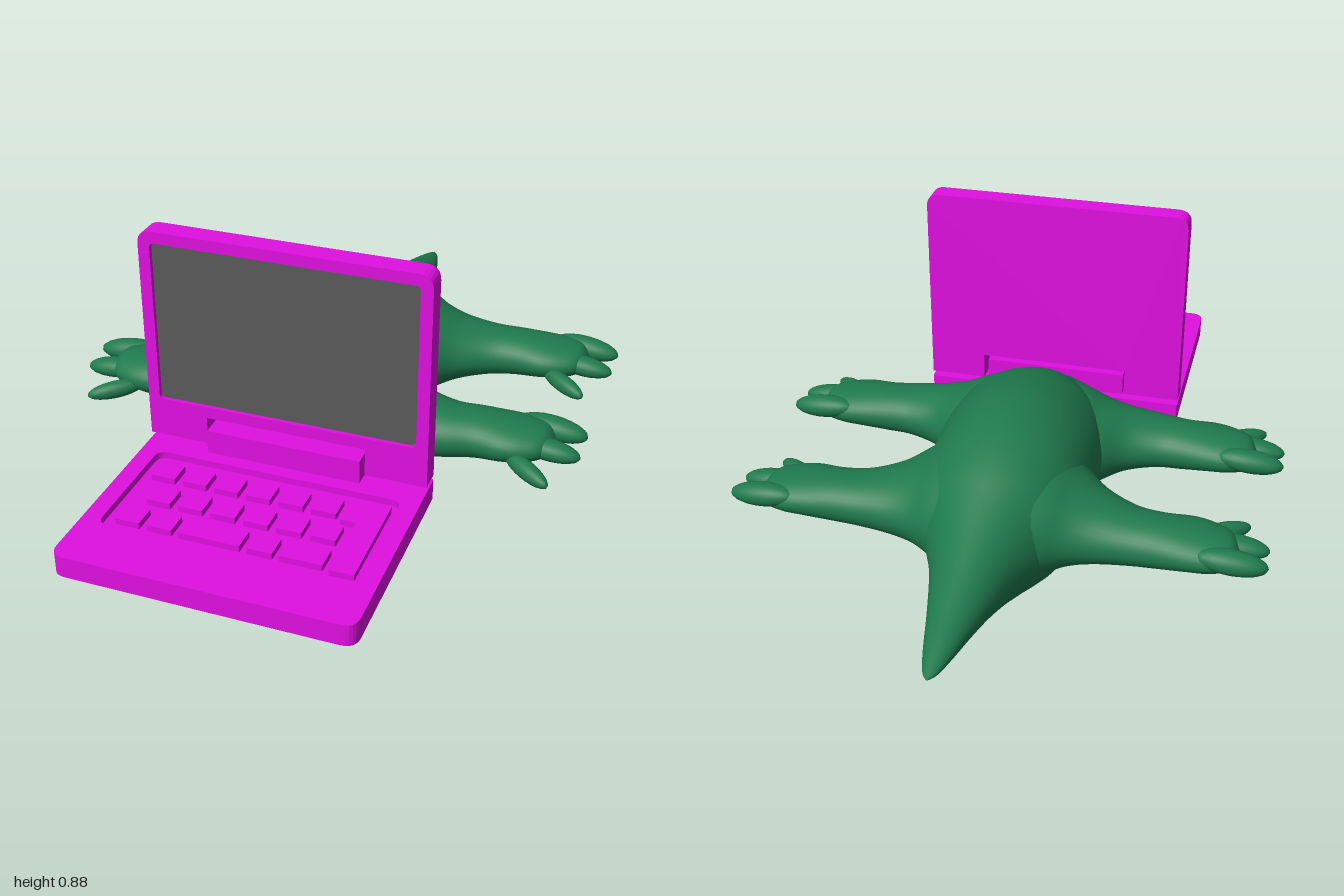
import * as THREE from 'three';

const green = new THREE.MeshStandardMaterial({ color: 0x1f7a4d });
const pink = new THREE.MeshStandardMaterial({ color: 0xe010e0 });
const dark = new THREE.MeshStandardMaterial({ color: 0x5a5a5a });

function add(parent, name, geometry, material) {
  const mesh = new THREE.Mesh(geometry, material);
  mesh.name = name;
  parent.add(mesh);
  return mesh;
}

const spline = (a, b, c, d, t) =>
  b + 0.5 * t * (c - a + t * (2 * a - 5 * b + 4 * c - d + t * (3 * (b - c) + d - a)));

// Smooth loft through elliptical stations [position, min1, max1, min2, max2]
function loft(stations, place, flip = false, steps = 6, sides = 36) {
  const positions = [], index = [], last = stations.length - 1, rings = last * steps;
  for (let i = 0; i <= rings; i++) {
    const k = Math.min(Math.floor(i / steps), last - 1), t = i / steps - k;
    const at = (n) => stations[Math.min(Math.max(n, 0), last)];
    const [p, a0, a1, b0, b1] = stations[0].map((_, c) =>
      spline(at(k - 1)[c], at(k)[c], at(k + 1)[c], at(k + 2)[c], t));
    for (let j = 0; j < sides; j++) {
      const w = (j / sides) * Math.PI * 2;
      positions.push(...place(p,
        (a0 + a1) / 2 + (a1 - a0) / 2 * Math.cos(w),
        (b0 + b1) / 2 + (b1 - b0) / 2 * Math.sin(w)));
      if (i === rings) continue;
      const n = (j + 1) % sides;
      const A = i * sides + j, B = A + sides, C = i * sides + n, D = C + sides;
      if (flip) index.push(A, C, B, C, D, B);
      else index.push(A, B, C, C, B, D);
    }
  }
  const geometry = new THREE.BufferGeometry();
  geometry.setAttribute('position', new THREE.Float32BufferAttribute(positions, 3));
  geometry.setIndex(index);
  geometry.computeVertexNormals();
  return geometry;
}

// Rectangle with a radius for its lower and its upper corners
function roundRect(x0, y0, x1, y1, low, high, Type = THREE.Shape) {
  const s = new Type();
  s.moveTo(x0 + low, y0);
  s.lineTo(x1 - low, y0);
  s.quadraticCurveTo(x1, y0, x1, y0 + low);
  s.lineTo(x1, y1 - high);
  s.quadraticCurveTo(x1, y1, x1 - high, y1);
  s.lineTo(x0 + high, y1);
  s.quadraticCurveTo(x0, y1, x0, y1 - high);
  s.lineTo(x0, y0 + low);
  s.quadraticCurveTo(x0, y0, x0 + low, y0);
  return s;
}

const extrude = (shape, depth) =>
  new THREE.ExtrudeGeometry(shape, { depth, bevelEnabled: false, curveSegments: 6 });
// Horizontal slab: the shape's y is -z
const slab = (shape, y0, y1) => extrude(shape, y1 - y0).rotateX(-Math.PI / 2).translate(0, y0, 0);

function buildAnimal() {
  const animal = new THREE.Group();
  animal.name = 'animal';

  // Body from blunt front to pointed tail: z, half width, bottom, top
  const body = [
    [0.346, 0.001, 0.26, 0.262], [0.34, 0.085, 0.2, 0.325], [0.3, 0.115, 0.165, 0.352],
    [0.2, 0.175, 0.105, 0.425], [0.1, 0.22, 0.062, 0.475], [0, 0.235, 0.028, 0.505],
    [-0.1, 0.238, 0.008, 0.522], [-0.2, 0.238, 0.001, 0.52], [-0.3, 0.235, 0.015, 0.5],
    [-0.4, 0.21, 0.042, 0.465], [-0.5, 0.16, 0.08, 0.415], [-0.6, 0.117, 0.12, 0.37],
    [-0.7, 0.088, 0.158, 0.332], [-0.8, 0.063, 0.187, 0.3], [-0.9, 0.04, 0.21, 0.272],
    [-0.97, 0.02, 0.227, 0.251], [-1, 0.001, 0.239, 0.241],
  ].map(([z, w, b, t]) => [z, -w, w, b, t]);
  add(animal, 'body', loft(body, (z, x, y) => [x, y, z]), green);

  // Legs flare into the body: x, back z, front z, bottom, top
  const outer = [
    [0.38, -0.448, -0.25, 0.188, 0.334], [0.46, -0.45, -0.265, 0.198, 0.33],
    [0.54, -0.456, -0.258, 0.208, 0.325], [0.6, -0.455, -0.27, 0.216, 0.318],
    [0.65, -0.435, -0.3, 0.23, 0.305], [0.675, -0.37, -0.368, 0.268, 0.27],
  ];
  const hindRoot = [
    [0.08, -0.56, -0.04, 0.08, 0.44], [0.16, -0.505, -0.08, 0.115, 0.42],
    [0.22, -0.472, -0.13, 0.145, 0.385], [0.29, -0.455, -0.2, 0.17, 0.353],
  ];
  const frontRoot = [
    [0.08, -0.1, 0.3, 0.1, 0.43], [0.16, -0.09, 0.262, 0.125, 0.41],
    [0.22, -0.055, 0.248, 0.15, 0.38], [0.29, 0.01, 0.24, 0.17, 0.352],
  ];
  // Toes: x, y, z, half length, half height, half width, yaw
  const toes = [
    [0.655, 0.277, -0.425, 0.1, 0.034, 0.038, -0.05],
    [0.66, 0.264, -0.333, 0.092, 0.03, 0.036, -0.03],
    [0.62, 0.242, -0.247, 0.085, 0.026, 0.026, -0.62],
  ];
  for (const [name, root, dz] of [['front', frontRoot, 0.485], ['hind', hindRoot, 0]]) {
    for (const side of [1, -1]) {
      const leg = new THREE.Group();
      leg.name = name + (side > 0 ? 'LeftLeg' : 'RightLeg');
      const stations = [...root, ...outer.map(([x, z0, z1, b, t]) => [x, z0 + dz, z1 + dz, b, t])];
      add(leg, 'limb', loft(stations, (x, z, y) => [side * x, y, z], side < 0), green);
      for (const [x, y, z, length, height, width, yaw] of toes) {
        const toe = add(leg, 'toe', new THREE.SphereGeometry(1, 20, 14), green);
        toe.scale.set(length, height, width);
        toe.rotation.set(0, side * yaw, side * -0.1);
        toe.position.set(side * x, y, z + dz);
      }
      animal.add(leg);
    }
  }
  return animal;
}

function buildComputer() {
  const computer = new THREE.Group();
  computer.name = 'laptop';

  // Base with a sunken key well
  const base = () => roundRect(-0.4, -1, 0.4, -0.37, 0.04, 0.005);
  add(computer, 'base', slab(base(), 0.185, 0.226), pink);
  const deck = base();
  deck.holes.push(roundRect(-0.35, -0.845, 0.35, -0.495, 0.03, 0.03, THREE.Path));
  add(computer, 'deck', slab(deck, 0.226, 0.246), pink);

  // Keys
  const keys = new THREE.Group();
  keys.name = 'keyboard';
  const key = (x, z, w) => add(keys, 'key',
    slab(roundRect(x, -z - 0.068, x + w, -z, 0.005, 0.005), 0.224, 0.244), pink);
  for (let i = 0; i < 6; i++) {
    key(-0.32 + i * 0.0915, 0.535, 0.07);
    key(-0.283 + i * 0.0915, 0.64, 0.07);
  }
  for (const [x, w] of [[-0.32, 0.07], [-0.23, 0.07], [-0.143, 0.17], [0.045, 0.07], [0.132, 0.116]])
    key(x, 0.742, w);
  const enter = new THREE.Shape([
    [0.225, -0.525], [0.225, -0.62], [0.268, -0.62], [0.268, -0.82], [0.333, -0.82], [0.333, -0.525],
  ].map(([x, y]) => new THREE.Vector2(x, y)));
  add(keys, 'enterKey', slab(enter, 0.224, 0.244), pink);
  computer.add(keys);

  // Lid with a hinge notch below and a recessed screen
  const lid = () => {
    const s = new THREE.Shape();
    s.moveTo(-0.4, 0.262);
    s.lineTo(-0.228, 0.262);
    s.lineTo(-0.228, 0.343);
    s.lineTo(0.228, 0.343);
    s.lineTo(0.228, 0.262);
    s.lineTo(0.4, 0.262);
    s.lineTo(0.4, 0.84);
    s.quadraticCurveTo(0.4, 0.88, 0.36, 0.88);
    s.lineTo(-0.36, 0.88);
    s.quadraticCurveTo(-0.4, 0.88, -0.4, 0.84);
    return s;
  };
  add(computer, 'lidBack', extrude(lid(), 0.045).translate(0, 0, 0.373), pink);
  const bezel = lid();
  bezel.holes.push(roundRect(-0.367, 0.377, 0.367, 0.847, 0.015, 0.015, THREE.Path));
  add(computer, 'bezel', extrude(bezel, 0.018).translate(0, 0, 0.418), pink);
  add(computer, 'screen', extrude(roundRect(-0.365, 0.379, 0.365, 0.845, 0.015, 0.015), 0.012)
    .translate(0, 0, 0.415), dark);
  add(computer, 'hinge', new THREE.BoxGeometry(0.44, 0.08, 0.06).translate(0, 0.275, 0.426), pink);
  return computer;
}

export function createModel() {
  const model = new THREE.Group();
  model.name = 'animalWithLaptop';
  model.add(buildAnimal(), buildComputer());
  return model;
}
